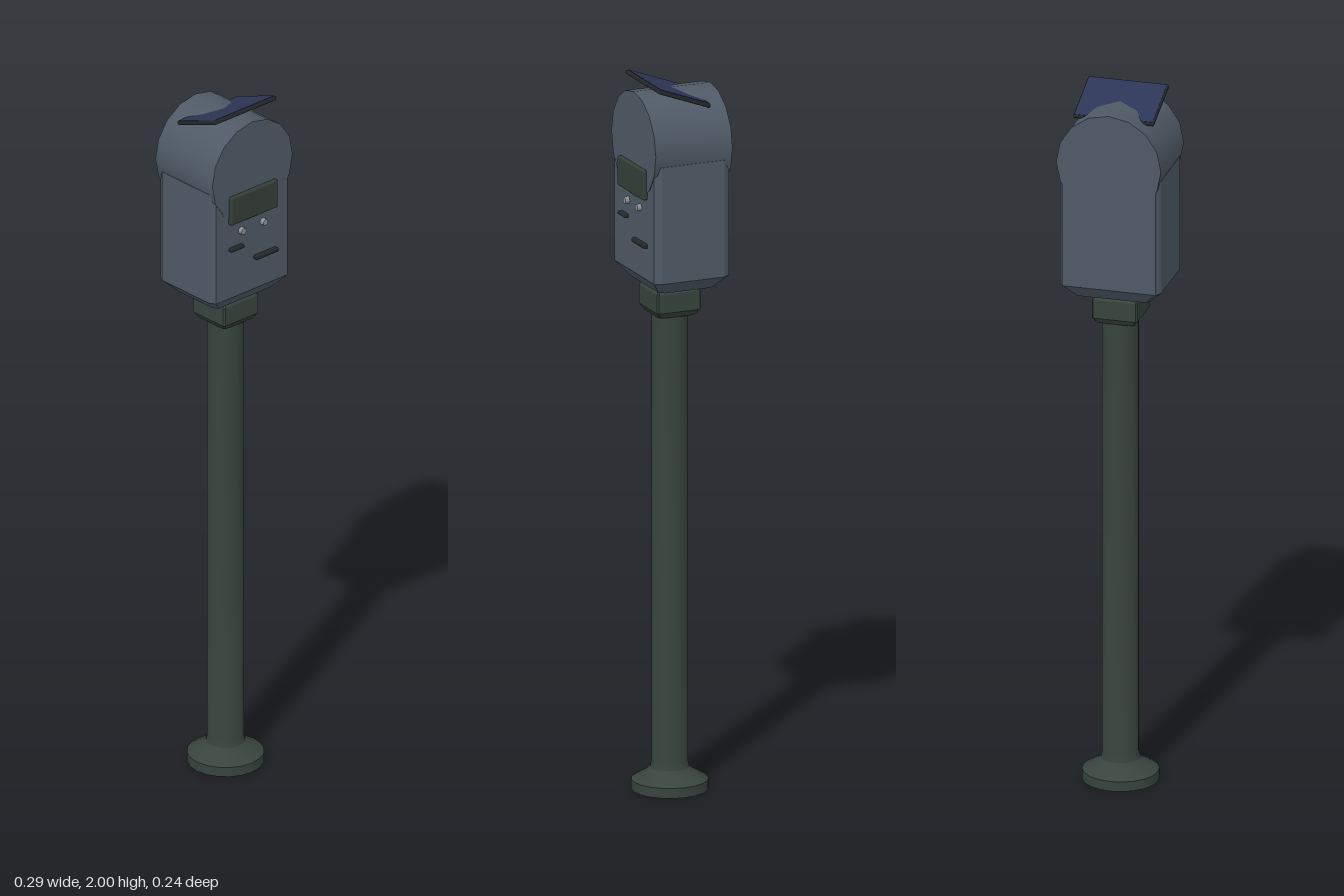
import * as THREE from 'three';
import { toCreasedNormals } from 'three/addons/utils/BufferGeometryUtils.js';
import { RoundedBoxGeometry } from 'three/addons/geometries/RoundedBoxGeometry.js';

const mat = (color, flatShading = false) => new THREE.MeshStandardMaterial({ color, flatShading });

// Solid from stacked rectangles with cut corners: [y, halfX, halfZ, cutX, cutZ]
function stackedBox(sections) {
  const pos = [], idx = [];
  for (const [y, x, z, a, b] of sections) {
    pos.push(x - a, y, z, x, y, z - b, x, y, b - z, x - a, y, -z,
      a - x, y, -z, -x, y, b - z, -x, y, z - b, a - x, y, z);
  }
  for (let s = 0; s < sections.length - 1; s++) {
    for (let i = 0; i < 8; i++) {
      const p = s * 8 + i, q = s * 8 + (i + 1) % 8;
      idx.push(p, q, q + 8, p, q + 8, p + 8);
    }
  }
  const top = (sections.length - 1) * 8;
  for (let i = 1; i < 7; i++) {
    idx.push(0, i + 1, i, top, top + i, top + i + 1);
  }
  const g = new THREE.BufferGeometry();
  g.setAttribute('position', new THREE.Float32BufferAttribute(pos, 3));
  g.setIndex(idx);
  const flat = g.toNonIndexed();
  flat.computeVertexNormals();
  return flat;
}

export function createModel() {
  const group = new THREE.Group();
  const green = mat(0x38443d), steel = mat(0x4f5a66), dark = mat(0x23282b);
  const add = (name, geometry, material, x = 0, y = 0, z = 0, parent = group) => {
    const m = new THREE.Mesh(geometry, material);
    m.name = name;
    m.position.set(x, y, z);
    parent.add(m);
    return m;
  };

  // Post with flared foot
  const profile = [[0, 0], [0.105, 0], [0.105, 0.028], [0.062, 0.054], [0.054, 0.062], [0.05, 0.08], [0.05, 1.36]]
    .map(([r, y]) => new THREE.Vector2(r, y));
  add('post', toCreasedNormals(new THREE.LatheGeometry(profile, 20), 0.5), green);

  // Square collar under the head
  add('collar', stackedBox([
    [1.338, 0.052, 0.052, 0.004, 0.004],
    [1.355, 0.064, 0.064, 0.004, 0.004],
    [1.408, 0.064, 0.064, 0.004, 0.004],
    [1.416, 0.059, 0.059, 0.004, 0.004],
    [1.43, 0.059, 0.059, 0.004, 0.004],
  ]), green);

  // Head: cut-corner housing with a round cap lying front to back
  add('housing', stackedBox([
    [1.425, 0.105, 0.081, 0.01, 0.015],
    [1.462, 0.142, 0.111, 0.011, 0.018],
    [1.79, 0.142, 0.111, 0.011, 0.018],
  ]), steel, 0, 0, -0.006);
  const cap = new THREE.CylinderGeometry(0.147, 0.147, 0.227, 16).rotateX(Math.PI / 2);
  add('roundCap', toCreasedNormals(cap, 0.6), steel, 0, 1.823, -0.0065);

  // Front controls
  add('screen', new RoundedBoxGeometry(0.172, 0.084, 0.022, 2, 0.006), mat(0x343f36), 0, 1.728, 0.107);
  for (const side of [-1, 1]) {
    const button = new THREE.CylinderGeometry(0.009, 0.011, 0.02, 14).rotateX(Math.PI / 2);
    add('button', button, mat(0x8b9197), side * 0.04, 1.655, 0.107);
  }
  add('cardSlot', new RoundedBoxGeometry(0.048, 0.01, 0.022, 2, 0.004), dark, -0.061, 1.61, 0.107);
  add('ticketSlot', new RoundedBoxGeometry(0.082, 0.012, 0.022, 2, 0.004), dark, 0.047, 1.557, 0.107);

  // Tilted solar panel, sunk into the cap at its rear
  const panel = new THREE.Group();
  panel.name = 'solarPanel';
  panel.position.set(0, 1.966, 0.005);
  panel.rotation.x = -0.36;
  group.add(panel);
  add('panelFrame', new RoundedBoxGeometry(0.226, 0.012, 0.162, 2, 0.004), dark, 0, 0, 0, panel);
  add('panelGlass', new THREE.BoxGeometry(0.218, 0.003, 0.154), mat(0x2c3557), 0, 0.0055, 0, panel);

  return group;
}
